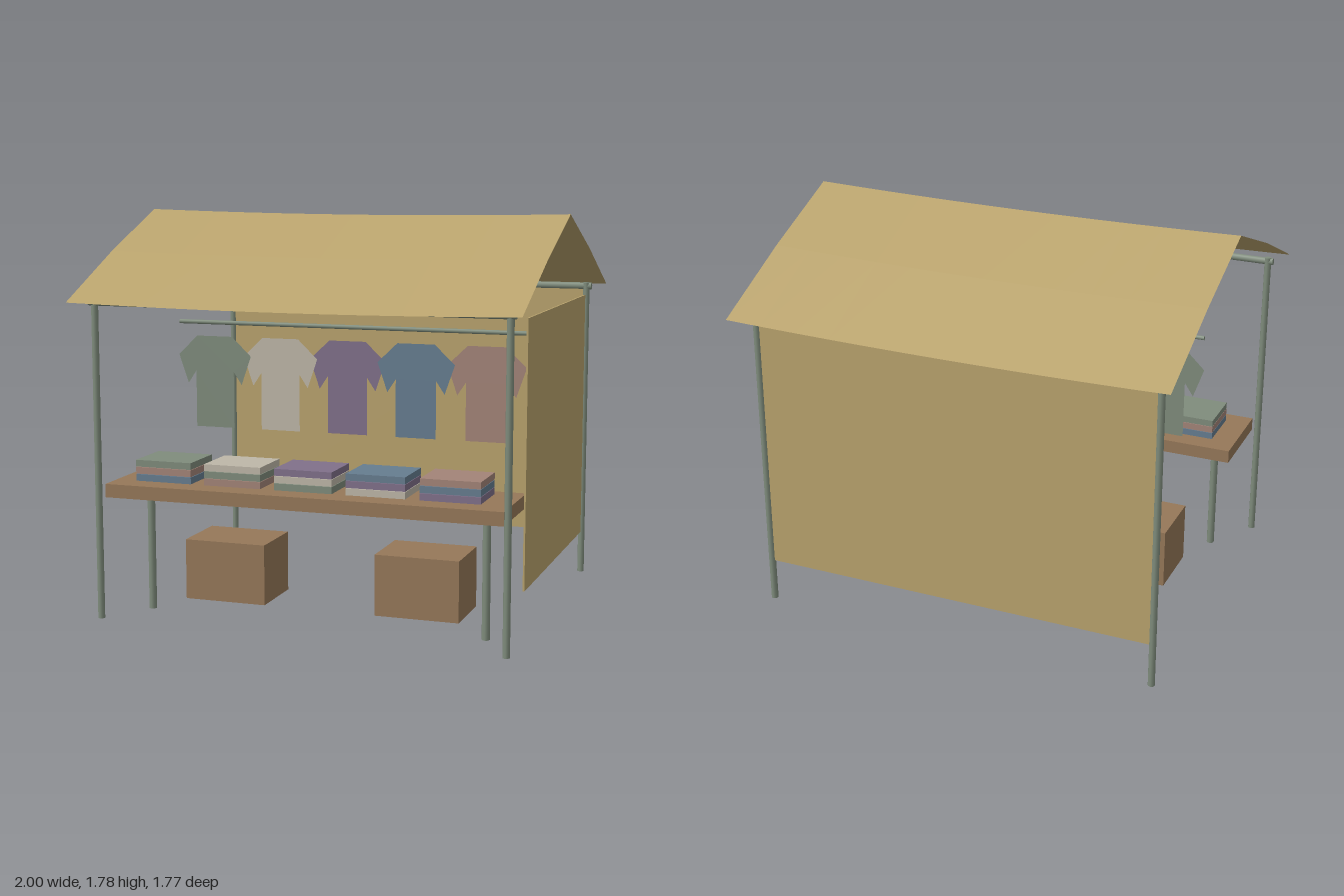
import * as THREE from 'three';

const paint = (name, color, side = THREE.FrontSide) =>
  new THREE.MeshStandardMaterial({ name, color, side });

export function createModel() {
  const stall = new THREE.Group();
  stall.name = 'marketStall';

  const canvas = paint('canvas', 0xb9a36d, THREE.DoubleSide);
  const wood = paint('wood', 0x967859);
  const sage = paint('sage', 0x7f8c7c, THREE.DoubleSide);
  const cream = paint('cream', 0xbeb7a8, THREE.DoubleSide);
  const purple = paint('purple', 0x80708a, THREE.DoubleSide);
  const blue = paint('blue', 0x667d90, THREE.DoubleSide);
  const rose = paint('rose', 0xa38478, THREE.DoubleSide);
  const cloth = [sage, cream, purple, blue, rose];

  const add = (name, geometry, material, x, y, z) => {
    const mesh = new THREE.Mesh(geometry, material);
    mesh.name = name;
    mesh.position.set(x, y, z);
    stall.add(mesh);
    return mesh;
  };
  const box = (name, material, w, h, d, x, y, z) =>
    add(name, new THREE.BoxGeometry(w, h, d), material, x, y, z);
  const rod = (name, r, length, x, y, z) =>
    add(name, new THREE.CylinderGeometry(r, r, length, 8), sage, x, y, z);

  // Corner posts and the long eave beams
  for (const sz of [-1, 1]) {
    for (const sx of [-1, 1]) rod('post', 0.016, 1.43, sx * 0.925, 0.715, sz * 0.765);
    rod('eaveBeam', 0.017, 1.9, 0, 1.412, sz * 0.768).rotation.z = Math.PI / 2;
  }

  // Canvas roof: two bent slopes that sag a little along the middle
  const roof = new THREE.PlaneGeometry(2, 1.77, 12, 4).rotateX(-Math.PI / 2);
  const heights = [1.785, 1.613, 1.416];
  const p = roof.attributes.position;
  for (let i = 0; i < p.count; i++) {
    const row = Math.round(Math.abs(p.getZ(i)) / 0.4425);
    p.setY(i, heights[row] - 0.014 * (1 - p.getX(i) ** 2));
  }
  const facetedRoof = roof.toNonIndexed();
  facetedRoof.computeVertexNormals();
  add('roof', facetedRoof, canvas, 0, 0, 0);

  // Canvas walls at the back and on the left side
  box('backWall', canvas, 1.83, 1.2, 0.008, 0, 0.8, -0.765);
  box('sideWall', canvas, 0.008, 1.17, 1.2, 0.92, 0.785, -0.15);

  // Table with two legs
  box('tableTop', wood, 1.805, 0.06, 0.4, 0, 0.575, 0.545);
  for (const sx of [-1, 1]) rod('tableLeg', 0.018, 0.545, sx * 0.78, 0.2725, 0.54);

  // Storage crates
  for (const x of [-0.51, 0.41]) box('crate', wood, 0.39, 0.28, 0.3, x, 0.14, 0.19);

  // Clothes rail
  rod('clothesRail', 0.01, 1.675, 0, 1.265, 0.08).rotation.z = Math.PI / 2;

  // Half outline of a shirt, mirrored into a flat shape
  const half = [[0.088, 1.2], [0.182, 1.11], [0.135, 0.975], [0.095, 1.035], [0.095, 0.77]];
  const outline = [...half, ...half.map(([x, y]) => [-x, y]).reverse()];
  const shirt = new THREE.ShapeGeometry(
    new THREE.Shape(outline.map(([x, y]) => new THREE.Vector2(x, y))));
  const shirtZ = [0.084, 0.081, 0.078, 0.081, 0.078];

  // Hanging shirts and the folded stacks in front of them
  cloth.forEach((material, i) => {
    const x = (i - 2) * 0.328;
    add('shirt', shirt, material, x - 0.004, 0, shirtZ[i]);
    for (let t = 0; t < 3; t++) {
      box('foldedShirt', cloth[(i - t + 5) % 5], 0.264, 0.03, 0.23, x - 0.005, 0.69 - t * 0.032, 0.545);
    }
  });

  return stall;
}
